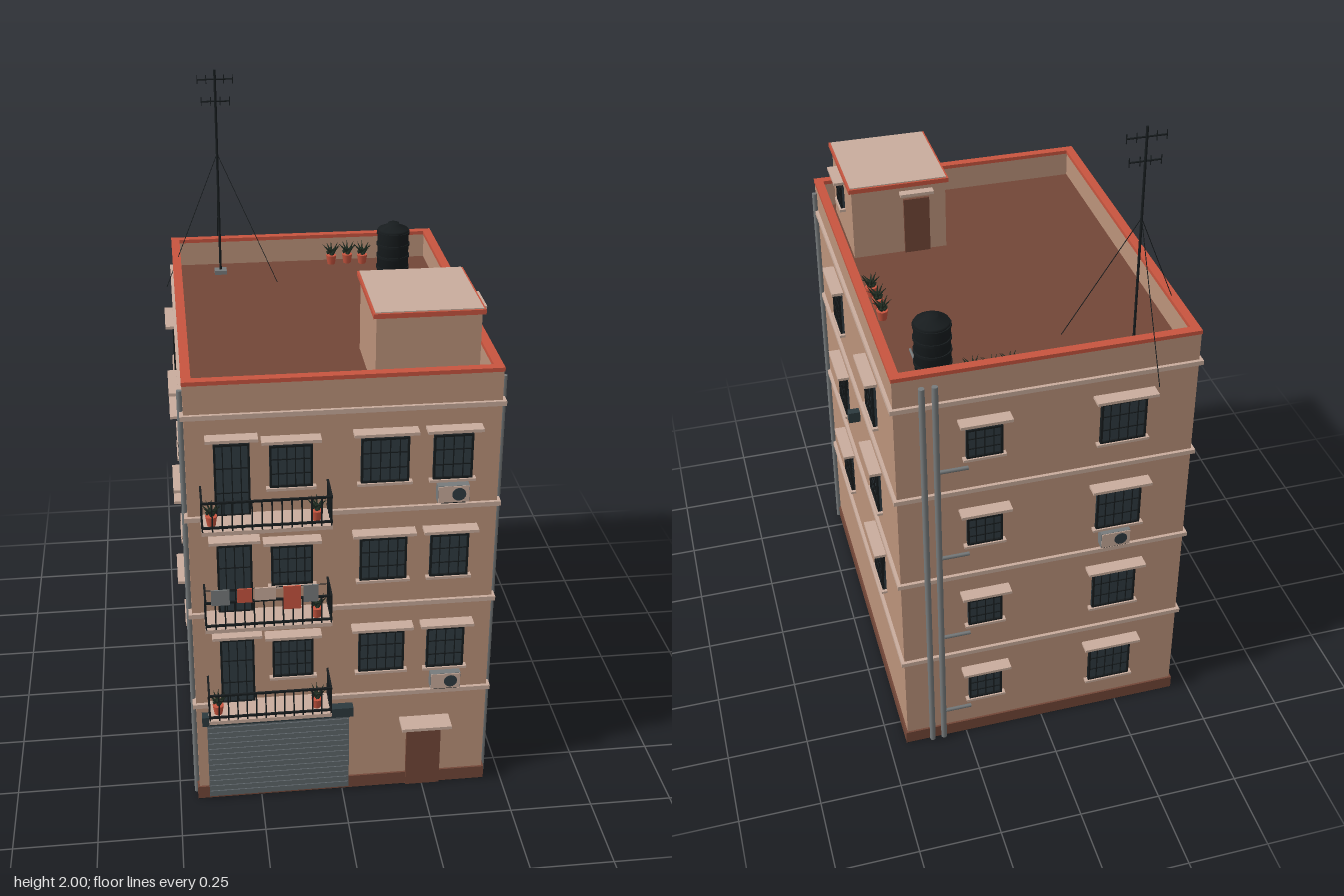
import * as THREE from 'three';

const mat = (name, color) => Object.assign(new THREE.MeshStandardMaterial({ color }), { name });
const M = {
  wall: mat('wall plaster', 0xbc937b), trim: mat('pale trim', 0xcaad9d), brown: mat('brown', 0x734738),
  red: mat('terracotta', 0xc8553f), shutter: mat('shutter grey', 0x5f676b), pipe: mat('pipe grey', 0x777b7c),
  glass: mat('dark glass', 0x2f3b41), iron: mat('black iron', 0x171c1e), plant: mat('dark leaf', 0x222f24),
  housing: mat('dark slate', 0x2c3a3e),
};
const HX = 0.44, HZ = 0.585, FLOOR = 0.32, ROOF = 1.31;

function add(parent, name, geo, material, x = 0, y = 0, z = 0) {
  const m = new THREE.Mesh(geo, material);
  m.name = name;
  m.position.set(x, y, z);
  parent.add(m);
  return m;
}
const box = (p, name, material, w, h, d, x, y, z) => add(p, name, new THREE.BoxGeometry(w, h, d), material, x, y, z);
const cyl = (p, name, material, r, h, x, y, z, n = 10) => add(p, name, new THREE.CylinderGeometry(r, r, h, n), material, x, y, z);

function group(parent, name, x = 0, y = 0, z = 0, ry = 0) {
  const g = new THREE.Group();
  g.name = name;
  g.position.set(x, y, z);
  g.rotation.y = ry;
  parent.add(g);
  return g;
}

// Thin round bar between two points
function rod(p, name, material, a, b, r) {
  const A = new THREE.Vector3(...a), d = new THREE.Vector3(...b).sub(A);
  const m = cyl(p, name, material, r, d.length(), 0, 0, 0, 6);
  m.position.copy(A).addScaledVector(d, 0.5);
  m.quaternion.setFromUnitVectors(new THREE.Vector3(0, 1, 0), d.normalize());
}

// Rectangular ring lying flat
function ring(p, name, material, hx, hz, t, h, y) {
  const rect = (S, a, b) => new S().moveTo(-a, -b).lineTo(a, -b).lineTo(a, b).lineTo(-a, b).closePath();
  const s = rect(THREE.Shape, hx, hz);
  s.holes.push(rect(THREE.Path, hx - t, hz - t));
  const geo = new THREE.ExtrudeGeometry(s, { depth: h, bevelEnabled: false }).rotateX(-Math.PI / 2);
  return add(p, name, geo, material, 0, y, 0);
}

// Barred window on a wall whose outside faces local +z
function barredWindow(p, x, y, w, h, { sill = true, canopy = 0.045, gap = 0.022, depth = 0.04 } = {}) {
  const g = group(p, 'barredWindow', x, y, 0);
  box(g, 'glass', M.glass, w, h, 0.008, 0, 0, 0.003);
  for (const s of [-1, 1]) {
    box(g, 'frameSide', M.iron, 0.006, h, 0.014, s * (w / 2 - 0.003), 0, 0.006);
    box(g, 'frameRail', M.iron, w, 0.006, 0.014, 0, s * (h / 2 - 0.003), 0.006);
  }
  const n = Math.max(3, Math.round(w / 0.026));
  for (let i = 1; i < n; i++) box(g, 'bar', M.iron, 0.003, h, 0.003, w * (i / n - 0.5), 0, 0.011);
  for (const s of [-0.17, 0.17]) box(g, 'crossBar', M.iron, w, 0.003, 0.003, 0, s * h, 0.011);
  if (sill) box(g, 'sill', M.trim, w + 0.02, 0.008, 0.02, 0, -h / 2 - 0.004, 0.008);
  if (canopy) box(g, 'canopy', M.trim, w + canopy, 0.009, depth, 0, h / 2 + gap, depth / 2);
}

// Outdoor cooling unit with a round fan
function coolingUnit(p, x, y) {
  const g = group(p, 'coolingUnit', x, y, 0);
  box(g, 'case', M.pipe, 0.09, 0.052, 0.03, 0, 0, 0.017);
  box(g, 'frontPanel', M.trim, 0.088, 0.05, 0.003, 0, 0, 0.033);
  cyl(g, 'fan', M.glass, 0.02, 0.004, 0.015, 0, 0.034, 16).rotation.x = Math.PI / 2;
  box(g, 'bracket', M.iron, 0.07, 0.004, 0.03, 0, -0.028, 0.015);
}

// Pot with a ring of spiky leaves
function pottedPlant(p, x, y, z, s = 1) {
  const g = group(p, 'pottedPlant', x, y, z);
  g.scale.setScalar(s);
  add(g, 'pot', new THREE.CylinderGeometry(0.017, 0.012, 0.03, 10), M.red, 0, 0.015, 0);
  for (let i = 0; i < 9; i++) {
    const a = i * 2.4, r = 0.012 + 0.004 * (i % 3);
    const c = [Math.cos(a), Math.sin(a)];
    const leaf = add(g, 'leaf', new THREE.ConeGeometry(0.006, 0.05, 4), M.plant, c[0] * r * 0.7, 0.048, c[1] * r * 0.7);
    leaf.quaternion.setFromUnitVectors(new THREE.Vector3(0, 1, 0),
      new THREE.Vector3(c[0], 0.5 + 0.5 * (i % 3), c[1]).normalize());
  }
}

function balcony(p, y, plants) {
  const g = group(p, 'balcony', -0.224, y, 0);
  const w = 0.362, d = 0.1, top = 0.095;
  box(g, 'slab', M.trim, w, 0.012, d, 0, 0, d / 2);
  for (const h of [0.018, top]) {
    box(g, 'frontRail', M.iron, w, 0.006, 0.006, 0, h, d - 0.003);
    for (const s of [-1, 1]) box(g, 'sideRail', M.iron, 0.006, 0.006, d, s * (w / 2 - 0.003), h, d / 2);
  }
  for (let i = 0; i <= 13; i++) box(g, 'baluster', M.iron, 0.004, top, 0.004, (w - 0.006) * (i / 13 - 0.5), top / 2, d - 0.003);
  for (const s of [-1, 1]) for (let i = 0; i < 4; i++)
    box(g, 'sideBaluster', M.iron, 0.004, top, 0.004, s * (w / 2 - 0.003), top / 2, 0.005 + i * 0.024);
  for (const x of plants) pottedPlant(g, x, 0.006, 0.06);
  return g;
}

export function createModel() {
  const root = new THREE.Group();
  root.name = 'apartmentBuilding';

  // Main block, plinth, floor bands
  box(root, 'walls', M.wall, HX * 2, ROOF - 0.01, HZ * 2, 0, ROOF / 2 + 0.005, 0);
  box(root, 'plinth', M.brown, HX * 2 + 0.012, 0.043, HZ * 2 + 0.012, 0, 0.0235, 0);
  box(root, 'underside', M.iron, HX * 2 + 0.01, 0.004, HZ * 2 + 0.01, 0, 0.002, 0);
  for (let i = 0; i < 4; i++) box(root, 'floorBand', M.trim, HX * 2 + 0.02, 0.014, HZ * 2 + 0.02, 0, 0.351 + i * FLOOR - (i === 3 ? 0.004 : 0), 0);

  // Roof deck and parapet
  box(root, 'roofDeck', M.brown, HX * 2 - 0.04, 0.008, HZ * 2 - 0.04, 0, ROOF + 0.007, 0);
  ring(root, 'parapet', M.wall, HX, HZ, 0.022, 0.1, ROOF - 0.002);
  ring(root, 'coping', M.red, HX + 0.002, HZ + 0.002, 0.027, 0.012, 1.4);

  // Wall frames: local +z points outward
  const front = group(root, 'frontWall', 0, 0, HZ);
  const back = group(root, 'backWall', 0, 0, -HZ, Math.PI);
  const sides = [group(root, 'leftWall', HX, 0, 0, Math.PI / 2), group(root, 'rightWall', -HX, 0, 0, -Math.PI / 2)];

  // Upper floors
  for (let i = 0; i < 3; i++) {
    const y = 0.35 + i * FLOOR;
    barredWindow(front, -0.313, y + 0.122, 0.1, 0.225, { sill: false });
    barredWindow(front, -0.149, y + 0.158, 0.12, 0.13);
    barredWindow(front, 0.114, y + 0.161, 0.136, 0.138);
    barredWindow(front, 0.306, y + 0.161, 0.112, 0.138);
    if (i !== 1) coolingUnit(front, 0.307, y + 0.053);
    const b = balcony(front, y + 0.007, i === 1 ? [0.14] : [-0.152, 0.14]);
    if (i === 1) {
      // Washing hung over the railing
      const cloths = [[-0.36, 0.052, 0.05, M.pipe], [-0.292, 0.042, 0.045, M.red], [-0.234, 0.06, 0.04, M.trim],
        [-0.158, 0.05, 0.075, M.red], [-0.105, 0.042, 0.055, M.pipe]];
      for (const [x, w, h, m] of cloths) box(b, 'cloth', m, w, h, 0.004, x + 0.224, 0.14 - h / 2, 0.103);
      rod(b, 'clothesLine', M.iron, [-0.18, 0.138, 0.1], [0.17, 0.138, 0.1], 0.0012);
      for (const s of [-0.178, 0.17]) rod(b, 'linePost', M.iron, [s, 0.09, 0.098], [s, 0.14, 0.098], 0.0015);
    }
    sides.forEach((wall, k) => {
      const s = k ? 1 : -1;
      for (const z of [0.216, -0.287]) barredWindow(wall, s * z, y + 0.161, 0.12, 0.138, { depth: 0.036 });
    });
  }

  // Street level: roller shutter and entrance
  box(front, 'shutter', M.shutter, 0.43, 0.285, 0.014, -0.195, 0.153, 0.004);
  for (let i = 0; i < 14; i++) box(front, 'shutterSlat', M.shutter, 0.426, 0.014, 0.006, -0.195, 0.025 + i * 0.02, 0.011);
  box(front, 'shutterHousing', M.housing, 0.455, 0.032, 0.028, -0.197, 0.306, 0.014);
  box(front, 'entranceDoor', M.brown, 0.106, 0.23, 0.016, 0.251, 0.117, 0.004);
  box(front, 'entranceCanopy', M.trim, 0.152, 0.01, 0.064, 0.251, 0.25, 0.032);

  // Back wall windows, drains and cooling unit
  for (let i = 0; i < 4; i++) {
    const y = 0.03 + i * FLOOR;
    barredWindow(back, 0.221, y + 0.161, 0.136, 0.138);
    barredWindow(back, -0.187, y + 0.17, 0.105, 0.098, { gap: 0.03 });
    rod(back, 'drainBranch', M.pipe, [-0.33, y + 0.09, 0.012], [-0.235, y + 0.09, 0.012], 0.006);
  }
  coolingUnit(back, 0.21, 0.728);
  for (const x of [-0.325, -0.362]) cyl(back, 'drainPipe', M.pipe, 0.009, 1.37, x, 0.69, 0.012);

  // Corner downpipes and meter box
  for (const s of [-1, 1]) cyl(root, 'downpipe', M.pipe, 0.008, 1.37, s * (HX + 0.008), 0.69, 0.555);
  box(root, 'meterBox', M.housing, 0.036, 0.036, 0.024, HX + 0.018, 0.897, -0.032);

  // Stair house on the roof
  const stair = group(root, 'stairHouse', 0.239, 0, 0.364);
  box(stair, 'stairWalls', M.wall, 0.292, 0.24, 0.316, 0, 1.43, 0);
  box(stair, 'roofEdge', M.red, 0.31, 0.014, 0.334, 0, 1.555, 0);
  box(stair, 'roofTop', M.trim, 0.298, 0.008, 0.322, 0, 1.561, 0);
  const stairSide = group(stair, 'stairSide', 0.146, 0, 0, Math.PI / 2);
  barredWindow(stairSide, -0.006, 1.465, 0.07, 0.072, { gap: 0.025, depth: 0.034 });
  const stairBack = group(stair, 'stairBack', 0, 0, -0.158, Math.PI);
  box(stairBack, 'stairDoor', M.brown, 0.08, 0.19, 0.012, 0.053, 1.41, 0.003);
  box(stairBack, 'doorCanopy', M.trim, 0.104, 0.009, 0.026, 0.053, 1.528, 0.013);

  // Water tank with ribs and outlet
  const tank = group(root, 'waterTank', 0.29, ROOF, -0.427);
  const profile = [[0, 0.005], [0.052, 0.005], [0.052, 0.155], [0.05, 0.162], [0.02, 0.175], [0.018, 0.182], [0, 0.183]];
  add(tank, 'tankBody', new THREE.LatheGeometry(profile.map(q => new THREE.Vector2(...q)), 20), M.iron);
  for (let i = 0; i < 4; i++) cyl(tank, 'tankRib', M.iron, 0.055, 0.008, 0, 0.03 + i * 0.04, 0, 20);
  rod(tank, 'outlet', M.pipe, [0.045, 0.02, 0.02], [0.045, 0.02, 0.085], 0.004);

  // Roof plants
  for (const [x, z] of [[0.095, -0.525], [0.15, -0.53], [0.2, -0.52], [0.375, -0.155], [0.375, -0.09], [0.38, -0.02]])
    pottedPlant(root, x, ROOF + 0.01, z, 1.05);

  // Aerial with guy wires
  const aerial = group(root, 'aerial', -0.283, 0, -0.475);
  box(aerial, 'aerialBase', M.pipe, 0.04, 0.025, 0.036, 0, 1.322, 0);
  cyl(aerial, 'mast', M.iron, 0.004, 0.69, 0, 1.655, 0, 8);
  for (const [y, half, n] of [[1.97, 0.056, 5], [1.9, 0.045, 4]]) {
    rod(aerial, 'boom', M.iron, [-half, y, 0], [half, y, 0], 0.0025);
    for (let i = 0; i < n; i++) {
      const x = half * (2 * i / (n - 1) - 1);
      rod(aerial, 'element', M.iron, [x, y - 0.014, 0], [x, y + 0.014, 0], 0.0015);
    }
  }
  for (let i = 0; i < 3; i++) {
    const a = Math.PI / 6 + i * Math.PI * 2 / 3;
    rod(aerial, 'guyWire', M.iron, [0, 1.73, 0], [0.21 * Math.cos(a), 1.318, 0.21 * Math.sin(a)], 0.0012);
  }
  return root;
}
